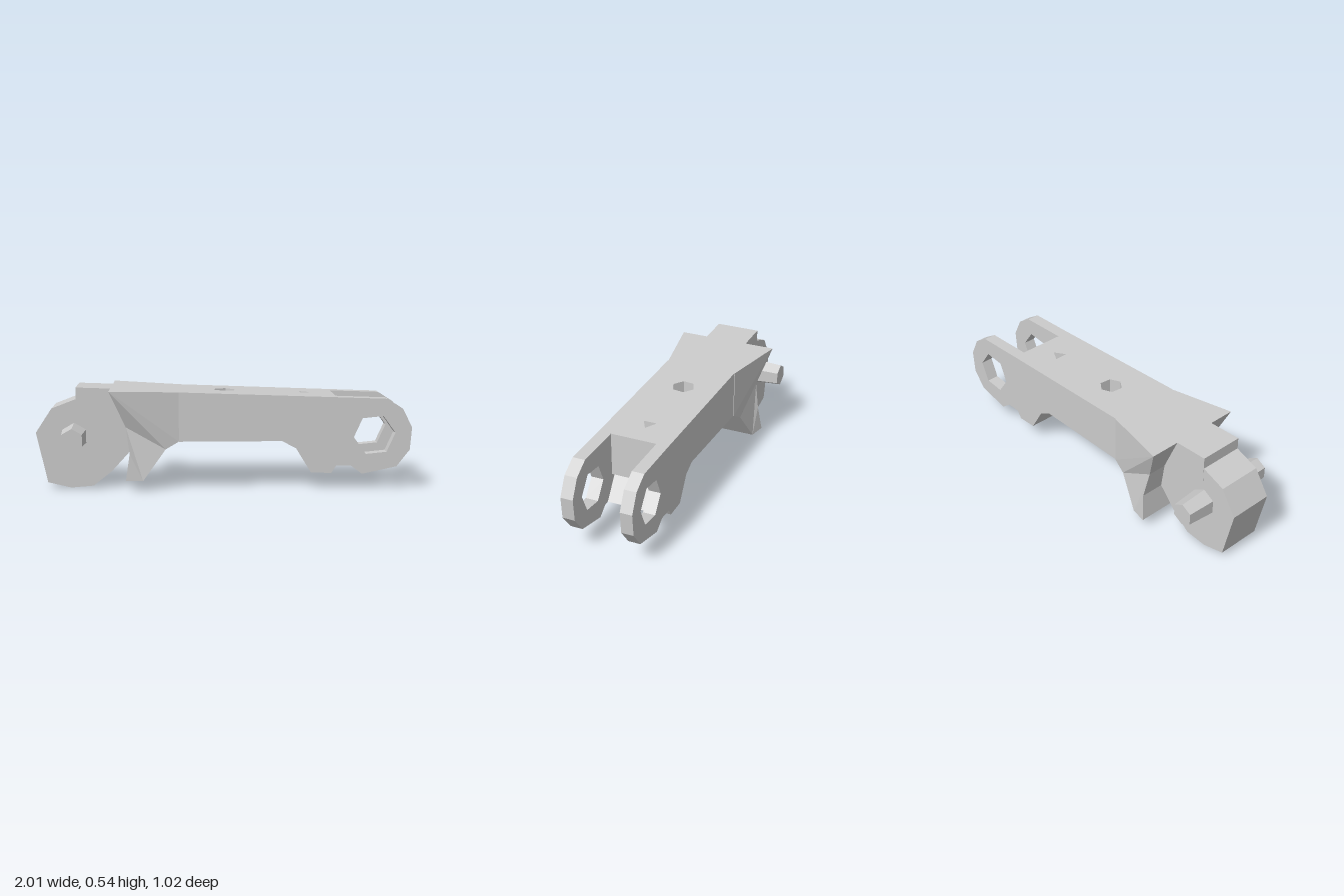
import * as THREE from 'three';

const MID = -0.022;                       // centre line of the body across its width
const topY = u => 0.515 - 0.035 * u;      // gently falling top surface
const material = new THREE.MeshStandardMaterial({ color: 0xcccccc, flatShading: true });

const ring = (cx, cy, r, n, a0 = 0) => Array.from({ length: n }, (_, i) => {
  const a = a0 + i * 2 * Math.PI / n;
  return [cx + r * Math.cos(a), cy + r * Math.sin(a)];
});

function extrude(points, depth, holes = []) {
  const toVec = p => new THREE.Vector2(p[0], p[1]);
  const shape = new THREE.Shape(points.map(toVec));
  holes.forEach(h => shape.holes.push(new THREE.Path(h.map(toVec))));
  return new THREE.ExtrudeGeometry(shape, { depth, bevelEnabled: false });
}

// Side profile (length, height) extruded across the width from z0 to z1
const slice = (points, z0, z1, holes) => extrude(points, z1 - z0, holes).translate(0, 0, z0);

function warp(geo, rule) {
  const p = geo.attributes.position, v = new THREE.Vector3();
  for (let i = 0; i < p.count; i++) {
    v.fromBufferAttribute(p, i);
    rule(v);
    p.setXYZ(i, v.x, v.y, v.z);
  }
  geo.computeVertexNormals();
  return geo;
}

export function createModel() {
  const model = new THREE.Group();
  const link = new THREE.Group();
  link.name = 'link';
  link.rotation.y = 0.314;
  model.add(link);
  const add = (name, geo) => {
    const mesh = new THREE.Mesh(geo, material);
    mesh.name = name;
    link.add(mesh);
    return mesh;
  };

  // Middle beam, drawn in plan with a hexagonal through hole and a small triangular pit
  const plan = [[-0.24, -0.178], [0.6, -0.17], [0.6, 0.216], [-0.24, 0.222]];
  const beam = extrude(plan, 1, [ring(0.008, 0.03, 0.062, 6, 0.4), ring(0.44, 0.03, 0.042, 3, 2.1)]);
  beam.rotateX(-Math.PI / 2);
  add('beam', warp(beam, v => { v.y = v.y > 0.5 ? topY(v.x) : 0.26; }));

  // Flared socket with its leg; three slices so the middle one can carry a pocket
  const socketStart = [[-0.605, topY(-0.605)], [-0.52, 0.34], [-0.5, 0.2], [-0.52, 0.06], [-0.43, 0.055]];
  const socketEnd = [[-0.31, 0.22], [-0.24, 0.26], [-0.24, topY(-0.24)]];
  const pocket = [[-0.4, 0.1], [-0.44, 0.15], [-0.365, 0.147]];
  const flare = v => {
    const t = THREE.MathUtils.clamp((-0.24 - v.x) / 0.36, 0, 1);
    const pinch = 0.75 * Math.max(0, 1 - Math.abs(v.y - 0.33) / 0.2);
    v.z = MID - 0.003 * (1 - t) + v.z * (0.2 + 0.077 * t * (1 - pinch));
    v.z -= 0.01 * t;
  };
  [[-1, -0.12], [-0.12, 0.18], [0.18, 1]].forEach(([a, b], i) => {
    const profile = [...socketStart, ...(i === 1 ? pocket : []), ...socketEnd];
    add('socket', warp(slice(profile, a, b), flare));
  });

  // Rounded head, with a shallow groove underneath between two lobes
  const headTop = [[-0.5, 0.2], [-0.5, 0.36], [-0.6, 0.44], [-0.79, 0.48], [-0.92, 0.43], [-1.005, 0.3]];
  const lobe = [...headTop, [-0.945, 0.03], [-0.82, 0], [-0.7, 0.01], [-0.6, 0.09]];
  const groove = [...headTop, [-0.945, 0.03], [-0.82, 0.035], [-0.7, 0.05], [-0.6, 0.12]];
  add('headLobe', slice(lobe, -0.143, -0.045));
  add('headGroove', slice(groove, -0.045, 0));
  add('headLobe', slice(lobe, 0, 0.098));

  // Neck block joining the head to the socket
  add('neck', slice([[-0.79, topY(-0.79)], [-0.79, 0.4], [-0.5, 0.34], [-0.52, 0.5],
    [-0.604, topY(-0.604)]], -0.144, 0.099));

  // Pivot pins on both sides of the head
  for (const side of [-1, 1]) {
    const pin = new THREE.CylinderGeometry(0.062, 0.076, 0.2, 6);
    pin.rotateX(side * Math.PI / 2).translate(-0.8, 0.28, MID + side * 0.173);
    add('pivotPin', pin);
  }

  // Fork prongs with hexagonal eyes, tucked under the end of the beam
  const foot = [[0.6, 0.125], [0.575, 0.085], [0.465, 0.09], [0.385, 0.22], [0.31, 0.26]];
  const prong = [[0.6, 0.26], [0.6, topY(0.6)], [0.87, topY(0.87)], [0.955, 0.43], [1.005, 0.33],
    [0.995, 0.21], [0.925, 0.12], [0.74, 0.08], [0.68, 0.125], ...foot];
  const eye = ring(0.805, 0.29, 0.112, 6, 0.1);
  add('frontProng', slice(prong, 0.102, 0.17, [eye]));
  add('backProng', slice(prong, -0.216, -0.15, [eye]));

  // Web closing the root of the fork
  add('forkWeb', slice([[0.6, 0.42], [0.57, 0.25], [0.655, 0.125], ...foot, [0.5, 0.27]], -0.15, 0.102));

  return model;
}
